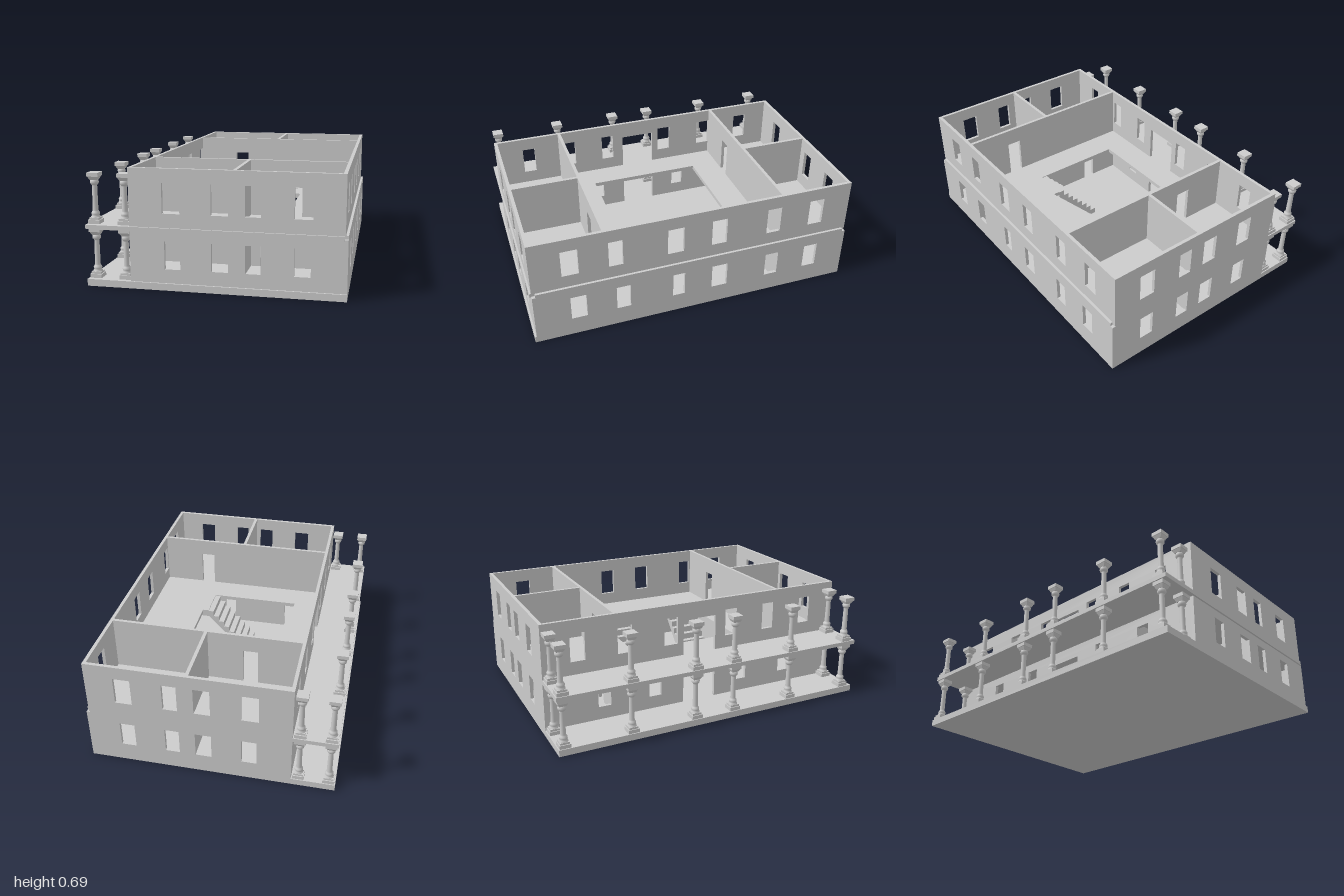
import * as THREE from 'three';

const mat = new THREE.MeshStandardMaterial({ color: 0xcccccc, flatShading: true });
const smooth = new THREE.MeshStandardMaterial({ color: 0xcccccc, side: THREE.DoubleSide });
const T = 0.02; // wall thickness

function add(parent, name, geo, x = 0, y = 0, z = 0, m = mat) {
  const mesh = new THREE.Mesh(geo, m);
  mesh.name = name;
  mesh.position.set(x, y, z);
  parent.add(mesh);
  return mesh;
}

// Box given by its limits
function block(parent, name, x0, x1, y0, y1, z0, z1) {
  return add(parent, name, new THREE.BoxGeometry(x1 - x0, y1 - y0, z1 - z0),
    (x0 + x1) / 2, (y0 + y1) / 2, (z0 + z1) / 2);
}

function polygon(Type, pts) {
  return new Type(pts.map(p => new THREE.Vector2(p[0], p[1])));
}
const rect = (Type, a, b, c, d) => polygon(Type, [[a, c], [b, c], [b, d], [a, d]]);

// Wall panel with openings [u0, u1, y0, y1], extruded by the wall thickness
function wallGeo(u0, u1, y0, y1, openings) {
  const shape = rect(THREE.Shape, u0, u1, y0, y1);
  shape.holes = openings.map(o => rect(THREE.Path, ...o));
  return new THREE.ExtrudeGeometry(shape, { depth: T, bevelEnabled: false });
}
// Wall running along x, occupying z .. z + T
function wallX(parent, name, z, x0, x1, y0, y1, openings = []) {
  add(parent, name, wallGeo(x0, x1, y0, y1, openings), 0, 0, z);
}
// Wall running along z, occupying x .. x + T
function wallZ(parent, name, x, z0, z1, y0, y1, openings = []) {
  add(parent, name, wallGeo(z0, z1, y0, y1, openings), x + T, 0, 0).rotation.y = -Math.PI / 2;
}
const row = (spans, y0, y1) => spans.map(s => [s[0], s[1], y0, y1]);

// One storey: four outer walls, two cross walls and two room dividers
function storey(name, o) {
  const g = new THREE.Group();
  g.name = name;
  const { y0, y1, east } = o;
  const ends = row(o.endWindows, o.win[0], o.win[1]);
  wallX(g, 'frontWall', 0.99 - T, -0.48, east, y0, y1, ends);
  wallX(g, 'backWall', -1, -0.48, east, y0, y1, ends);
  wallZ(g, 'leftWall', east - T, -1 + T, 0.99 - T, y0, o.eastTop, row(o.eastWindows, o.win[0], o.win[1]));
  wallZ(g, 'porchWall', -0.48, -1 + T, 0.99 - T, y0, y1,
    [...row(o.westWindows, o.win[0], o.win[1]), [-0.11, 0.11, o.floor, o.doorTop]]);
  wallX(g, 'frontCrossWall', 0.545, -0.46, east - T, y0, y1, row(o.frontDoors, o.floor, o.doorTop));
  wallX(g, 'backCrossWall', -0.56, -0.46, east - T, y0, y1, row(o.backDoors, o.floor, o.doorTop));
  wallZ(g, 'frontRoomDivider', 0.105, 0.565, 0.97, y0, y1);
  wallZ(g, 'backRoomDivider', 0.105, -0.98, -0.56, y0, y1);
  return g;
}

// Porch column, 0.29 tall, standing on y = 0
const shaftProfile = [
  [0.026, 0.02], [0.028, 0.03], [0.026, 0.04], [0.021, 0.044], [0.024, 0.052], [0.024, 0.06],
  [0.019, 0.067], [0.016, 0.075], [0.0145, 0.215], [0.017, 0.22], [0.023, 0.226], [0.025, 0.236],
  [0.022, 0.245], [0.019, 0.25],
].map(p => new THREE.Vector2(p[0], p[1]));
function column(x, y, z) {
  const g = new THREE.Group();
  g.name = 'column';
  g.position.set(x, y, z);
  block(g, 'plinth', -0.034, 0.034, 0, 0.022, -0.034, 0.034);
  block(g, 'plinthStep', -0.028, 0.028, 0.022, 0.034, -0.028, 0.028);
  add(g, 'shaft', new THREE.LatheGeometry(shaftProfile, 20), 0, 0, 0, smooth);
  const flare = new THREE.CylinderGeometry(0.031 * Math.SQRT2, 0.02 * Math.SQRT2, 0.022, 4);
  flare.rotateY(Math.PI / 4);
  add(g, 'capital', flare, 0, 0.259, 0);
  block(g, 'abacus', -0.033, 0.033, 0.268, 0.29, -0.033, 0.033);
  return g;
}

// Straight flight rising toward +x with a sloping underside
function stairs(z0, z1) {
  const n = 8, run = 0.29 / n, rise = 0.31 / n, pts = [[0, 0.04]];
  for (let i = 0; i < n; i++) {
    pts.push([i * run, 0.04 + (i + 1) * rise], [(i + 1) * run, 0.04 + (i + 1) * rise]);
  }
  pts.push([0.29, 0.31], [0.035, 0.04]);
  const geo = new THREE.ExtrudeGeometry(polygon(THREE.Shape, pts), { depth: z1 - z0, bevelEnabled: false });
  geo.translate(0, 0, z0);
  return geo;
}

export function createModel() {
  const model = new THREE.Group();
  model.name = 'house';

  // Ground slab
  block(model, 'groundSlab', -0.735, 0.725, 0, 0.04, -1, 1);

  // Upper floor slab with the stairwell cut out (shape y becomes z)
  const slab = rect(THREE.Shape, -0.735, 0.705, -1, 1);
  slab.holes.push(polygon(THREE.Path, [
    [-0.285, -0.36], [0.29, -0.36], [0.29, -0.155], [0.33, -0.155],
    [0.33, 0.155], [0.29, 0.155], [0.29, 0.363], [-0.285, 0.363],
  ]));
  const slabGeo = new THREE.ExtrudeGeometry(slab, { depth: 0.025, bevelEnabled: false });
  slabGeo.rotateX(Math.PI / 2);
  add(model, 'upperFloorSlab', slabGeo, 0, 0.355, 0);

  // Storeys
  model.add(storey('lowerStorey', {
    y0: 0.03, y1: 0.335, eastTop: 0.355, east: 0.725, floor: 0.04, doorTop: 0.25, win: [0.12, 0.278],
    endWindows: [[-0.28, -0.19], [-0.015, 0.08], [0.175, 0.26], [0.44, 0.53]],
    eastWindows: [[0.68, 0.775], [0.415, 0.5], [0.075, 0.15], [-0.2, -0.1], [-0.54, -0.455], [-0.81, -0.72]],
    westWindows: [[0.26, 0.34], [0.59, 0.67], [-0.34, -0.26], [-0.67, -0.59]],
    frontDoors: [[-0.27, -0.19], [0.18, 0.26]],
    backDoors: [[-0.27, -0.19], [0.18, 0.26]],
  }));
  model.add(storey('upperStorey', {
    y0: 0.34, y1: 0.685, eastTop: 0.685, east: 0.71, floor: 0.355, doorTop: 0.58, win: [0.435, 0.605],
    endWindows: [[-0.29, -0.19], [-0.015, 0.08], [0.175, 0.26], [0.44, 0.54]],
    eastWindows: [[0.71, 0.81], [0.45, 0.535], [0.08, 0.18], [-0.19, -0.095], [-0.54, -0.45], [-0.825, -0.73]],
    westWindows: [[0.18, 0.26], [0.45, 0.53], [0.73, 0.81], [-0.24, -0.15], [-0.54, -0.45], [-0.83, -0.74]],
    frontDoors: [[0.34, 0.43]],
    backDoors: [[-0.2, -0.11]],
  }));

  // Twin flights on either side of the stairwell
  add(model, 'frontStairs', stairs(0.155, 0.363));
  add(model, 'backStairs', stairs(-0.36, -0.155));

  // Porch columns on both levels
  const spots = [[-0.695, -0.96], [-0.52, -0.96], [-0.695, -0.55], [-0.695, -0.14],
    [-0.695, 0.12], [-0.695, 0.525], [-0.695, 0.94], [-0.52, 0.94]];
  for (const y of [0.04, 0.355]) {
    for (const [x, z] of spots) model.add(column(x, y, z));
  }
  return model;
}
